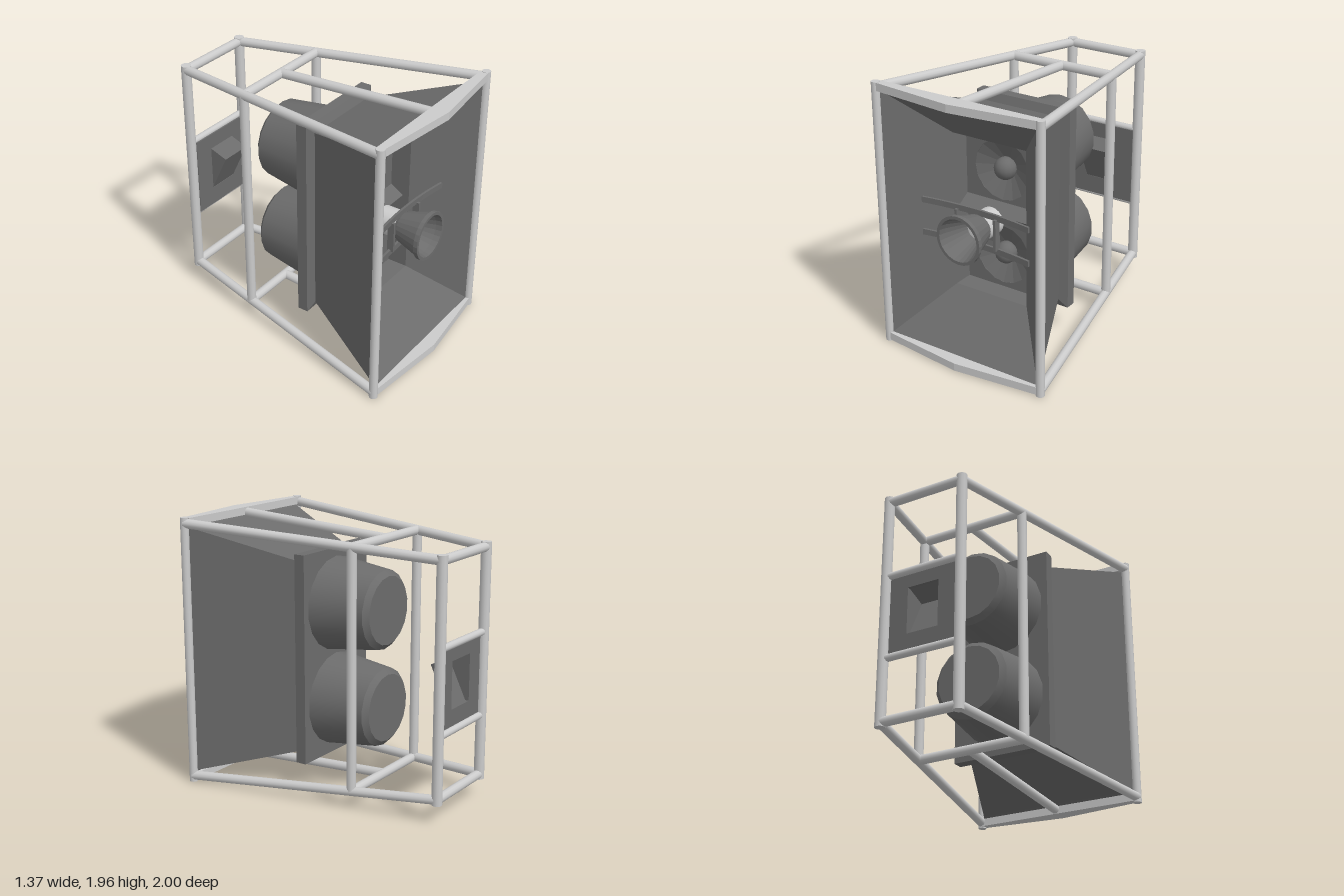
import * as THREE from 'three';
import { toCreasedNormals } from 'three/addons/utils/BufferGeometryUtils.js';

const DARK = 0x6c6c6c;
const light = new THREE.MeshStandardMaterial({ color: 0xcccccc });
const dark = new THREE.MeshStandardMaterial({ color: DARK });
const darkThin = new THREE.MeshStandardMaterial({ color: DARK, side: THREE.DoubleSide });
const darkFacet = new THREE.MeshStandardMaterial({ color: DARK, side: THREE.DoubleSide, flatShading: true });

export function createModel() {
  const root = new THREE.Group();

  const add = (name, geometry, material, x = 0, y = 0, z = 0) => {
    const mesh = new THREE.Mesh(geometry, material);
    mesh.name = name;
    mesh.position.set(x, y, z);
    root.add(mesh);
    return mesh;
  };

  // Round bar between two points
  const bar = (name, a, b, r = 0.034) => {
    const p = new THREE.Vector3(...a), q = new THREE.Vector3(...b);
    const dir = q.clone().sub(p);
    const mesh = add(name, new THREE.CylinderGeometry(r, r, dir.length(), 12), light);
    mesh.position.copy(p).add(q).multiplyScalar(0.5);
    mesh.quaternion.setFromUnitVectors(new THREE.Vector3(0, 1, 0), dir.normalize());
  };

  const box = (name, w, h, d, x, y, z) => add(name, new THREE.BoxGeometry(w, h, d), dark, x, y, z);

  // Surface of revolution around the z axis, profile points are [radius, z]
  const turned = (profile, sides) =>
    new THREE.LatheGeometry(profile.map(([r, z]) => new THREE.Vector2(r, z)), sides).rotateX(Math.PI / 2);

  // Flat faces from lists of corners, split into triangles
  const faces = (list) => {
    const pos = [];
    for (const f of list)
      for (let i = 1; i < f.length - 1; i++) pos.push(...f[0], ...f[i], ...f[i + 1]);
    const g = new THREE.BufferGeometry();
    g.setAttribute('position', new THREE.Float32BufferAttribute(pos, 3));
    g.computeVertexNormals();
    return g;
  };

  const rectangle = (hx, y0, y1) => new THREE.Shape(
    [[-hx, y0], [hx, y0], [hx, y1], [-hx, y1]].map(([x, y]) => new THREE.Vector2(x, y)));

  // Tubular frame: posts and side rails
  const railX = (z) => 0.65 + (z - 0.905) * 0.19;
  const topY = (z) => 1.918 + (z - 0.905) * 0.058;
  const bottomY = (z) => 0.043 - (z - 0.905) * 0.068;
  const front = 0.905, mid = -0.345, back = -0.963;
  for (const s of [1, -1]) {
    bar('frontPost', [s * 0.65, 0, front], [s * 0.65, 1.96, front], 0.031);
    bar('middlePost', [s * railX(mid), bottomY(mid), mid], [s * railX(mid), topY(mid), mid]);
    bar('backPost', [s * railX(back), 0.135, back], [s * railX(back), 1.845, back], 0.037);
    for (const yAt of [topY, bottomY])
      bar('sideRail', [s * railX(front), yAt(front), front], [s * railX(back), yAt(back), back]);
  }

  // Tubular frame: cross bars and centre rails
  for (const yAt of [topY, bottomY]) {
    for (const z of [mid, back])
      bar('crossBar', [-railX(z), yAt(z), z], [railX(z), yAt(z), z]);
    bar('centreRail', [0, yAt(0.88), 0.88], [0, yAt(mid), mid]);
  }
  for (const y of [1.22, 0.615])
    bar('panelBar', [-railX(back), y, back], [railX(back), y, back], 0.026);

  // Pointed plates above and below the mouth
  const lipShape = new THREE.Shape([[-0.64, 0.87], [0.64, 0.87], [0.64, 0.925], [0, 0.997], [-0.64, 0.925]]
    .map(([x, z]) => new THREE.Vector2(x, z)));
  for (const y of [1.957, 0.066])
    add('mouthLip', new THREE.ExtrudeGeometry(lipShape, { depth: 0.057, bevelEnabled: false })
      .rotateX(Math.PI / 2), light, 0, y, 0);

  // Large horn: chamfer, outer wall, rim, steep inner wall and straight throat
  const sections = [
    [0.385, 0.225, 1.74, 0.15], [0.32, 0.285, 1.68, 0.175], [0.618, 0.083, 1.883, 0.872],
    [0.63, 0.064, 1.902, 0.9], [0.622, 0.066, 1.9, 0.9], [0.3, 0.4, 1.56, 0.55], [0.3, 0.4, 1.56, 0.38],
  ].map(([hx, y0, y1, z]) => [[-hx, y0, z], [hx, y0, z], [hx, y1, z], [-hx, y1, z]]);
  const walls = [];
  for (let i = 0; i < sections.length - 1; i++)
    for (let k = 0; k < 4; k++) {
      const n = (k + 1) % 4;
      walls.push([sections[i][k], sections[i][n], sections[i + 1][n], sections[i + 1][k]]);
    }
  add('hornShell', faces(walls), darkThin);

  // Board behind the horn, and the baffle at the end of the throat
  box('mountingBoard', 0.77, 1.515, 0.08, 0, 0.9825, 0.11);
  const baffle = rectangle(0.3, 0.4, 1.56);
  for (const y of [1.3, 0.655])
    baffle.holes.push(new THREE.Path().absarc(0, y, 0.224, 0, Math.PI * 2, true));
  add('baffle', new THREE.ExtrudeGeometry(baffle, { depth: 0.02, bevelEnabled: false, curveSegments: 8 }),
    dark, 0, 0, 0.38);

  // Speaker cones, dust caps and rear housings
  for (const [coneY, housingY] of [[1.3, 1.34], [0.655, 0.632]]) {
    add('speakerCone', turned([[0.228, 0.4], [0.06, 0.325]], 16), darkFacet, 0, coneY);
    add('dustCap', new THREE.SphereGeometry(0.082, 14, 8), dark, 0, coneY, 0.36);
    const housing = turned([[0, -0.375], [0.245, -0.375], [0.284, -0.34], [0.34, 0.08]], 18);
    add('speakerHousing', toCreasedNormals(housing, 0.5), darkThin, 0, housingY);
  }

  // Wedge across the throat between the speakers
  const wedge = new THREE.Shape([[0.4, 0.9], [0.5, 1], [0.4, 1.06]].map(([z, y]) => new THREE.Vector2(-z, y)));
  add('throatWedge', new THREE.ExtrudeGeometry(wedge, { depth: 0.6, bevelEnabled: false })
    .rotateY(Math.PI / 2), darkThin, -0.3, 0, 0);

  // Small horn in the middle of the mouth with its driver
  add('smallHorn', turned([[0.1, 0.68], [0.11, 0.7], [0.165, 0.88], [0.177, 0.885], [0.177, 0.915],
    [0.155, 0.915], [0.145, 0.87], [0.08, 0.7]], 24), darkFacet, 0, 0.973);
  add('smallHornDriver', new THREE.CylinderGeometry(0.1, 0.1, 0.17, 20).rotateX(Math.PI / 2),
    light, 0, 0.973, 0.615);

  // Bracket with flat, gently bent arms holding the small horn
  for (const y of [1.097, 0.85]) {
    const arm = new THREE.BoxGeometry(0.88, 0.042, 0.018, 16);
    const p = arm.attributes.position;
    for (let i = 0; i < p.count; i++) p.setZ(i, p.getZ(i) + 0.2 * p.getX(i) ** 2);
    arm.computeVertexNormals();
    add('bracketArm', arm, dark, 0, y, 0.69);
  }
  for (const s of [1, -1]) box('bracketSide', 0.02, 0.23, 0.05, s * 0.16, 0.973, 0.7);

  // Rear connector panel with its recessed pocket
  const panel = rectangle(0.275, 0.62, 1.215);
  panel.holes.push(rectangle(0.12, 0.76, 1.1));
  add('connectorPanel', new THREE.ExtrudeGeometry(panel, { depth: 0.03, bevelEnabled: false }), dark, 0, 0, -0.957);
  const [l, r] = [-0.12, 0.12].map((x) => [[x, 1.1, -0.93], [x, 1.05, -0.79], [x, 0.76, -0.93]]);
  add('connectorPocket', faces([l, r, [l[0], r[0], r[1], l[1]], [l[1], r[1], r[2], l[2]]]), darkThin);

  return root;
}
